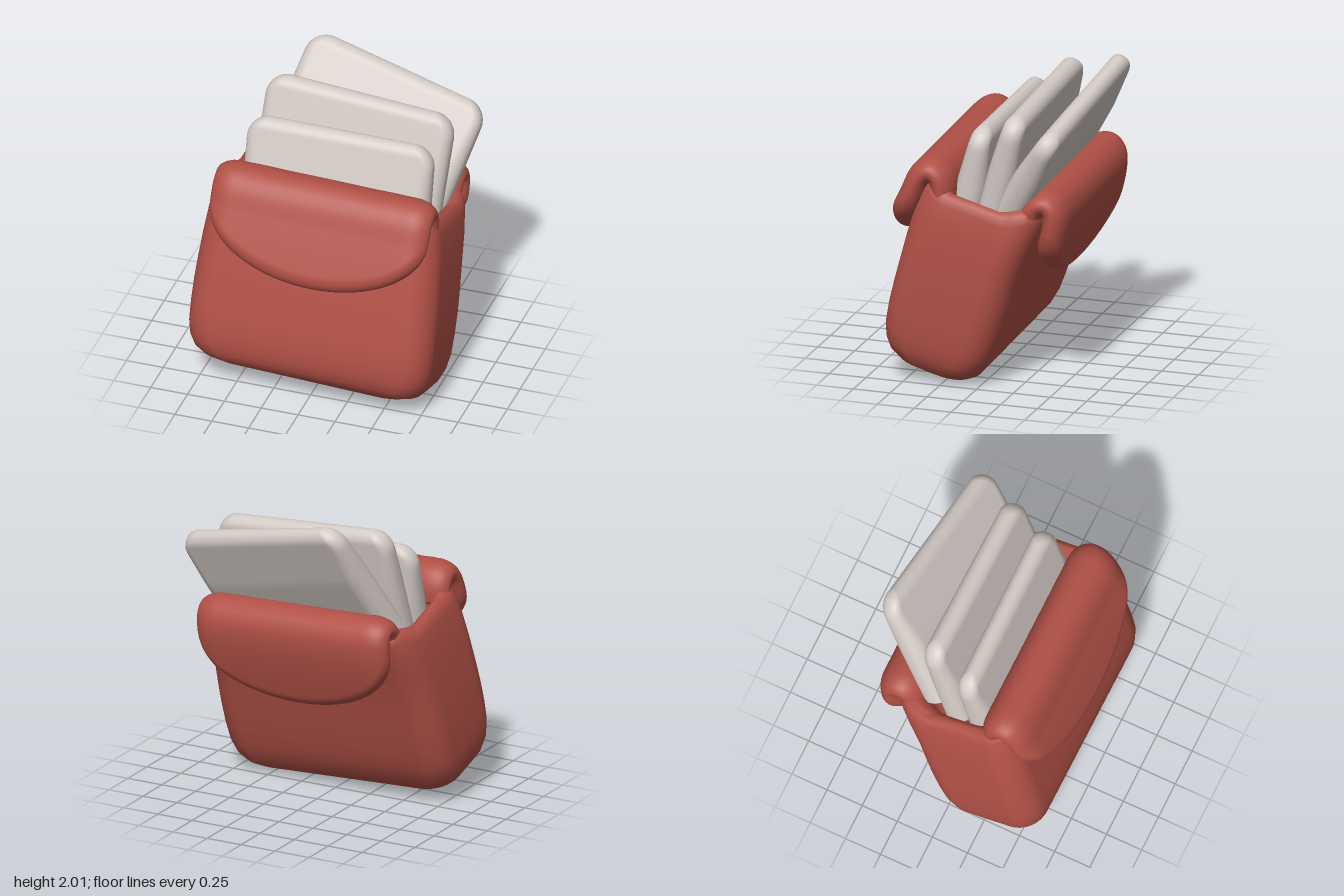
import * as THREE from 'three';

// Smooth skin over a list of closed rings with equal point counts
function loft(rings) {
  const n = rings[0].length, pos = [], idx = [];
  rings.forEach(r => r.forEach(p => pos.push(...p)));
  for (let i = 0; i < rings.length - 1; i++) {
    for (let j = 0; j < n; j++) {
      const a = i * n + j, b = i * n + (j + 1) % n, c = a + n, d = b + n;
      idx.push(a, c, b, b, c, d);
    }
  }
  const g = new THREE.BufferGeometry();
  g.setAttribute('position', new THREE.Float32BufferAttribute(pos, 3));
  g.setIndex(idx);
  g.computeVertexNormals();
  return g;
}

// Rounded rectangle ring at height y
function roundedRing(y, hx, hz) {
  const r = Math.min(0.18, hx * 0.9, hz * 0.9), pts = [];
  for (let q = 0; q < 4; q++) {
    const sx = q === 0 || q === 3 ? 1 : -1, sz = q < 2 ? 1 : -1;
    for (let k = 0; k <= 8; k++) {
      const a = (q + k / 8) * Math.PI / 2;
      pts.push([sx * (hx - r) + r * Math.cos(a), y, sz * (hz - r) + r * Math.sin(a)]);
    }
  }
  return pts;
}

// Body: smooth profile from the base up to the rim, then down the inner wall;
// the rim rises at front and back and flares backward
function bodyGeometry() {
  const profile = [
    [0, 0.01, 0.01], [0, 0.58, 0.1], [0.015, 0.665, 0.19], [0.05, 0.735, 0.26], [0.1, 0.78, 0.31],
    [0.17, 0.808, 0.345], [0.27, 0.822, 0.37], [0.4, 0.824, 0.382], [0.55, 0.822, 0.388], [0.7, 0.815, 0.391],
    [0.88, 0.803, 0.395], [1.05, 0.786, 0.396], [1.18, 0.762, 0.388], [1.24, 0.74, 0.37],
    [1.27, 0.7, 0.34], [1.25, 0.66, 0.305], [1.2, 0.64, 0.285], [1.0, 0.625, 0.27], [1.0, 0.01, 0.01],
  ];
  const rings = profile.map(p => roundedRing(...p)), step = THREE.MathUtils.smoothstep;
  rings.flat().forEach(p => {
    const edge = step(Math.abs(p[2]), 0.12, 0.36), high = step(p[1], 0.9, 1.25);
    p[1] += edge * high * (p[2] > 0 ? 0.06 : 0.1);
    if (p[2] < 0) p[2] -= 0.06 * edge * high;
  });
  return loft(rings);
}

// Folded, padded flap: a path in (z, y) swept across x, with a half-oval lower edge
function flapGeometry(path, W, T, shoulder) {
  const curve = new THREE.CatmullRomCurve3(path.map(([z, y]) => new THREE.Vector3(0, y, z)), false, 'centripetal');
  const total = curve.getLength(), rings = [], N = 48, M = 56, edge = 0.15;
  for (let i = 0; i <= M; i++) {
    const u = Math.sin((i / M - 0.5) * Math.PI), x = W * u;
    const L = shoulder + (total - shoulder) * Math.sqrt(Math.max(0, 1 - u * u));
    const e = Math.max(0, Math.abs(x) - (W - edge)) / edge;
    const tx = T * Math.sqrt(Math.max(0, 1 - e * e));
    const outer = [], inner = [];
    for (let k = 0; k <= N; k++) {
      const s = L * Math.sin(k / N * Math.PI / 2);
      const f = Math.max(0, s - (L - 0.1)) / 0.1;
      const t = tx * Math.sqrt(Math.max(0, 1 - f * f));
      const p = curve.getPointAt(Math.min(1, s / total)), d = curve.getTangentAt(Math.min(1, s / total));
      outer.push([x, p.y - d.z * t, p.z + d.y * t]);
      inner.unshift([x, p.y + d.z * t, p.z - d.y * t]);
    }
    rings.push([...outer, ...inner]);
  }
  return loft(rings);
}

// Pillowy card hanging down from its top edge: rounded corners, thinner toward the top
function cardGeometry(w, h, t, topScale) {
  const R = 0.15, round = (d, r) => Math.sqrt(Math.max(0, 1 - (1 - Math.min(1, d / r)) ** 2));
  const rings = [], N = 32;
  for (let i = 0; i <= N; i++) {
    const d = h * (1 - i / N) ** 2.2;
    const taper = topScale + (1 - topScale) * Math.min(1, d / 0.4);
    rings.push(roundedRing(-d, w / 2 - R + R * round(d, R), Math.max(0.004, t / 2 * taper * round(d, 0.07))));
  }
  // Close the top edge along its centre line
  rings.push(rings[N].map(([x]) => [x, 0.0005, 0]));
  return loft(rings);
}

export function createModel() {
  const red = new THREE.MeshStandardMaterial({ color: 0xb05046 });
  red.name = 'brick red';
  red.side = THREE.DoubleSide;
  const grey = new THREE.MeshStandardMaterial({ color: 0xd2c9c4 });
  grey.name = 'warm pale grey';

  const pouch = new THREE.Group();
  pouch.name = 'pouch';
  const add = (name, geo, mat) => {
    const m = new THREE.Mesh(geo, mat);
    m.name = name;
    pouch.add(m);
    return m;
  };

  // Body leaning backward
  const body = add('body', bodyGeometry(), red);
  body.position.set(-0.022, 0.07, 0.355);
  body.rotation.set(-0.28, 0, -0.012);

  // Flaps folded over the front and back rims
  add('frontFlap', flapGeometry([[0.25, 1.29], [0.25, 1.36], [0.27, 1.425], [0.325, 1.46], [0.39, 1.42],
    [0.46, 1.28], [0.535, 1.12], [0.625, 0.91]], 0.74, 0.085, 0.41), red);
  add('backFlap', flapGeometry([[-0.335, 1.2], [-0.35, 1.24], [-0.39, 1.285], [-0.45, 1.295], [-0.49, 1.25],
    [-0.495, 1.16], [-0.45, 0.96], [-0.365, 0.71]], 0.7, 0.085, 0.34), red);

  // Three fanned cards: width, height, thickness, top scale, top position, tilt, roll
  [
    ['frontCard', 1.26, 0.7, 0.2, 0.6, [-0.01, 1.74, 0.0], -0.21, 0.022],
    ['middleCard', 1.275, 0.82, 0.19, 0.7, [0.04, 1.88, -0.255], -0.27, -0.04],
    ['backCard', 1.27, 0.92, 0.2, 0.6, [0.185, 1.905, -0.595], -0.53, -0.215],
  ].forEach(([name, w, h, t, k, pos, tilt, roll]) => {
    const card = add(name, cardGeometry(w, h, t, k), grey);
    card.position.set(...pos);
    card.rotation.set(tilt, 0, roll);
  });

  // Slight sideways lean, then stand on the ground and centre
  pouch.rotation.z = -0.033;
  const model = new THREE.Group();
  model.add(pouch);
  model.updateMatrixWorld(true);
  const box = new THREE.Box3().setFromObject(model, true), c = box.getCenter(new THREE.Vector3());
  pouch.position.set(-c.x, -box.min.y, -c.z);
  return model;
}
